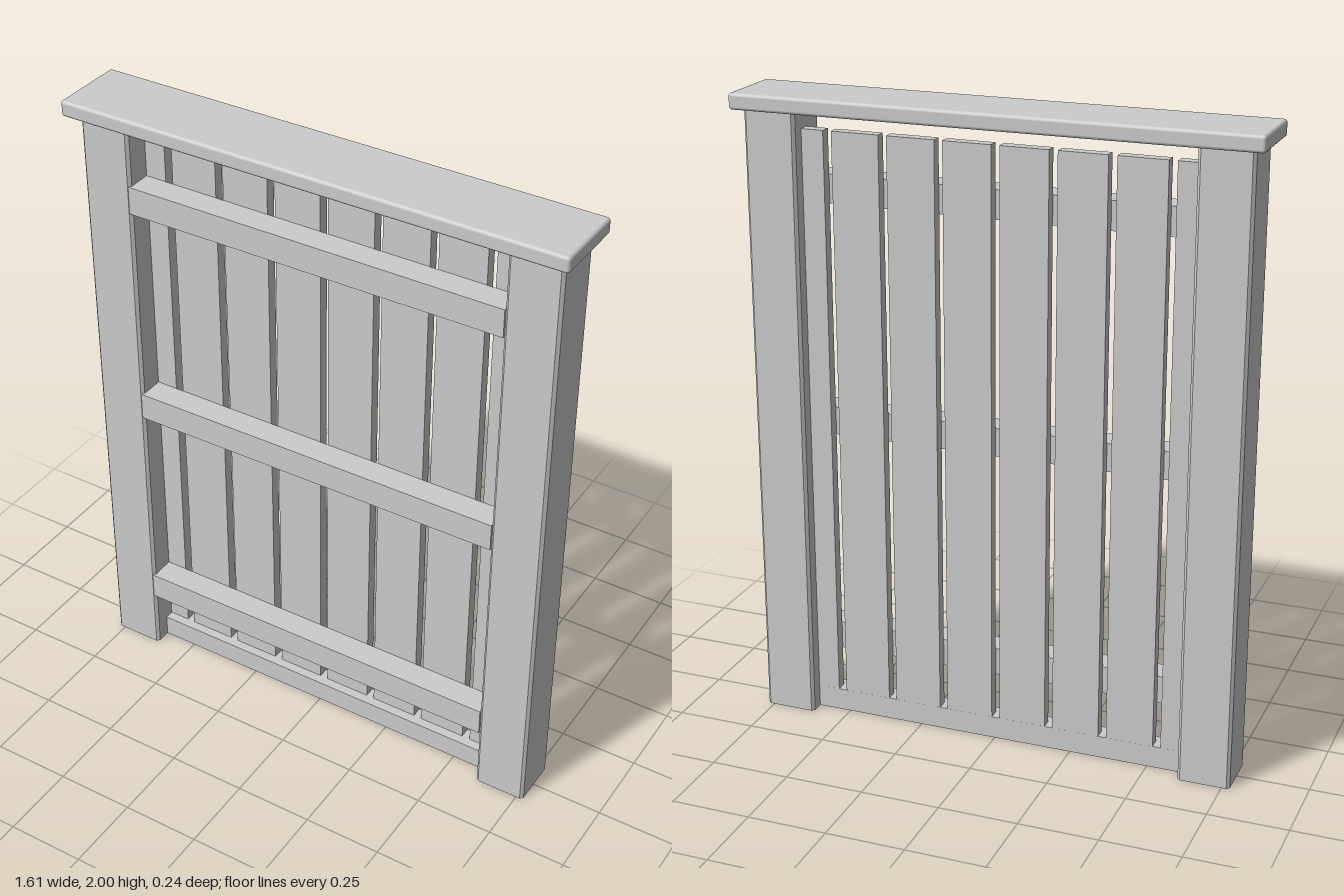
import * as THREE from 'three';
import { RoundedBoxGeometry } from 'three/addons/geometries/RoundedBoxGeometry.js';

const material = new THREE.MeshStandardMaterial({ color: 0xcccccc });

function add(group, name, geometry, x = 0, y = 0, z = 0) {
  const mesh = new THREE.Mesh(geometry, material);
  mesh.name = name;
  mesh.position.set(x, y, z);
  group.add(mesh);
}

// Box given by its lower and upper limits on each axis
function board(group, name, [x0, x1], [y0, y1], [z0, z1]) {
  add(group, name, new THREE.BoxGeometry(x1 - x0, y1 - y0, z1 - z0),
    (x0 + x1) / 2, (y0 + y1) / 2, (z0 + z1) / 2);
}

// Upright post with chamfered vertical edges
function postGeometry(width, depth, height, c) {
  const w = width / 2, d = depth / 2;
  const shape = new THREE.Shape([
    [w - c, -d], [w, c - d], [w, d - c], [w - c, d],
    [c - w, d], [-w, d - c], [-w, c - d], [c - w, -d],
  ].map(([x, y]) => new THREE.Vector2(x, y)));
  return new THREE.ExtrudeGeometry(shape, { depth: height, bevelEnabled: false }).rotateX(-Math.PI / 2);
}

export function createModel() {
  const group = new THREE.Group();
  group.name = 'fencePanel';

  // Posts and the cap resting on them
  const post = postGeometry(0.164, 0.164, 1.955, 0.009);
  add(group, 'rightPost', post, -0.692, 0, -0.005);
  add(group, 'leftPost', post, 0.69, 0, -0.005);
  add(group, 'cap', new RoundedBoxGeometry(1.61, 0.05, 0.242, 2, 0.01), -0.002, 1.975, 0);

  // Vertical slats, the outer two partly let into the posts
  const slatZ = [-0.04, -0.005], slatY = [0.03, 1.894];
  for (let i = 0; i < 6; i++) {
    const x = -0.442 + i * 0.1757;
    board(group, 'slat', [x - 0.075, x + 0.075], slatY, slatZ);
  }
  board(group, 'endSlat', [-0.65, -0.542], slatY, slatZ);
  board(group, 'endSlat', [0.538, 0.65], slatY, slatZ);

  // Horizontal rails across the front, level with the posts
  for (const y of [0.204, 0.935, 1.667]) {
    board(group, 'rail', [-0.616, 0.609], [y, y + 0.089], [-0.005, 0.078]);
  }

  // Kick board at the foot
  board(group, 'bottomBoard', [-0.62, 0.62], [0, 0.071], [-0.0402, 0.025]);
  return group;
}
